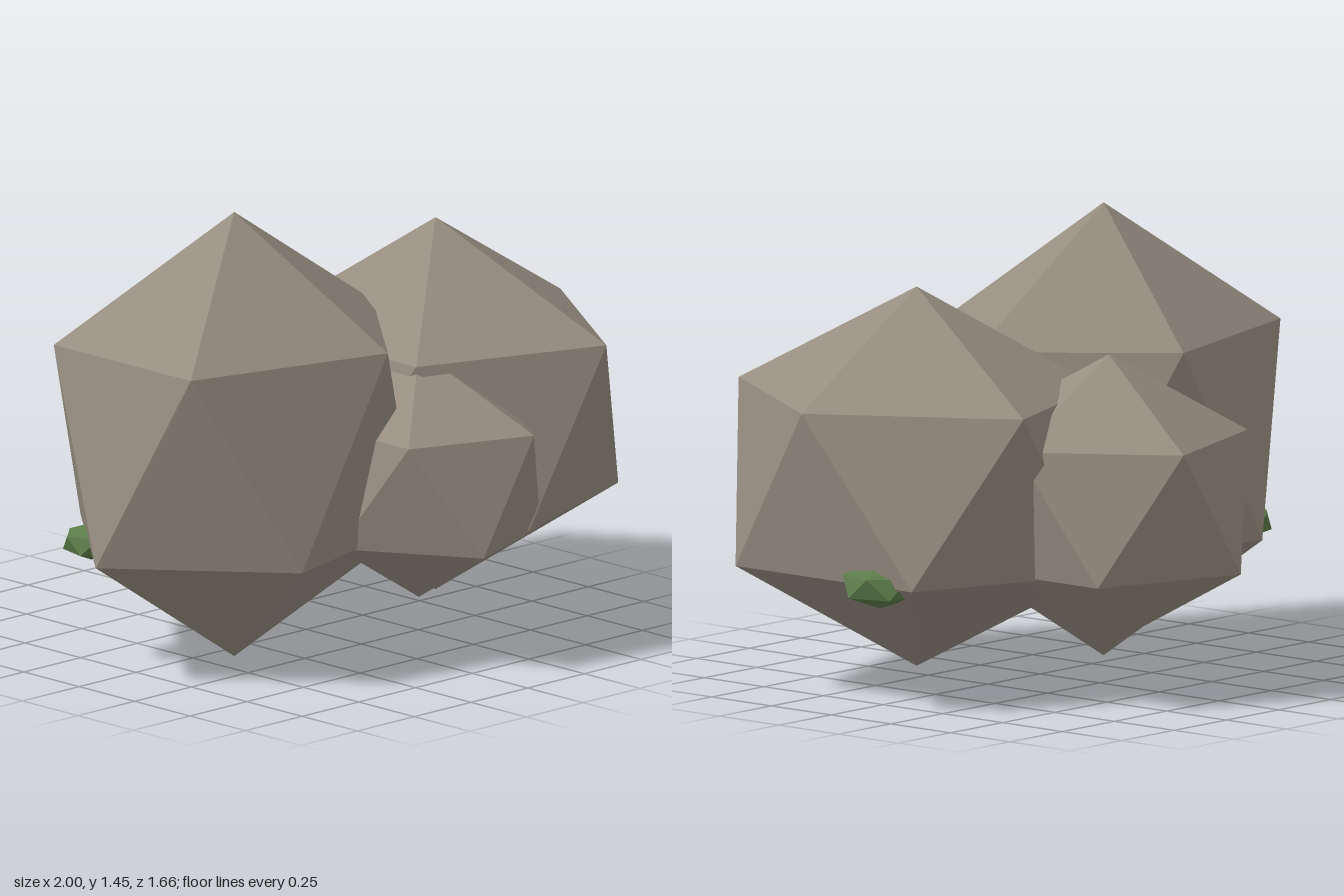
import * as THREE from 'three';

// Icosahedron with its points up and down and one upper-ring corner on +x
function makeFacetedGeometry(ringX, halfHeight, ringZ) {
  const ring = 2 / Math.sqrt(5); // ring radius of a unit icosahedron
  const geometry = new THREE.IcosahedronGeometry(1, 0);
  geometry.rotateZ(Math.atan(2 / (1 + Math.sqrt(5))));
  geometry.rotateY(Math.PI);
  geometry.scale(ringX / ring, halfHeight, ringZ / ring);
  geometry.computeVertexNormals();
  return geometry;
}

export function createModel() {
  const model = new THREE.Group();
  model.name = 'rockCluster';

  const stone = new THREE.MeshStandardMaterial({ color: 0x968d80, flatShading: true });
  stone.name = 'stone';
  const moss = new THREE.MeshStandardMaterial({ color: 0x5c7c4a, flatShading: true });
  moss.name = 'moss';

  function add(name, material, position, size, yaw = 0) {
    const mesh = new THREE.Mesh(makeFacetedGeometry(...size), material);
    mesh.name = name;
    mesh.position.set(...position);
    mesh.rotation.y = yaw;
    model.add(mesh);
  }

  // Boulders: centre, then ring radius in x, half height, ring radius in z
  add('tallBoulder', stone, [-0.39, 0.73, 0.075], [0.61, 0.725, 0.526]);
  add('wideBoulder', stone, [0.45, 0.683, 0.123], [0.55, 0.607, 0.628]);
  add('frontBoulder', stone, [0.08, 0.581, 0.427], [0.358, 0.403, 0.427]);
  add('backBoulder', stone, [0.123, 0.625, -0.397], [0.443, 0.465, 0.455]);

  // Moss tufts on the lower edges of the boulders
  add('rightMoss', moss, [-0.79, 0.41, -0.16], [0.09, 0.06, 0.09], 0.4);
  add('leftMoss', moss, [0.855, 0.41, -0.08], [0.11, 0.074, 0.12], 0.3);
  add('innerMoss', moss, [0.02, 0.4, 0.03], [0.08, 0.06, 0.08], 0.2);

  return model;
}
